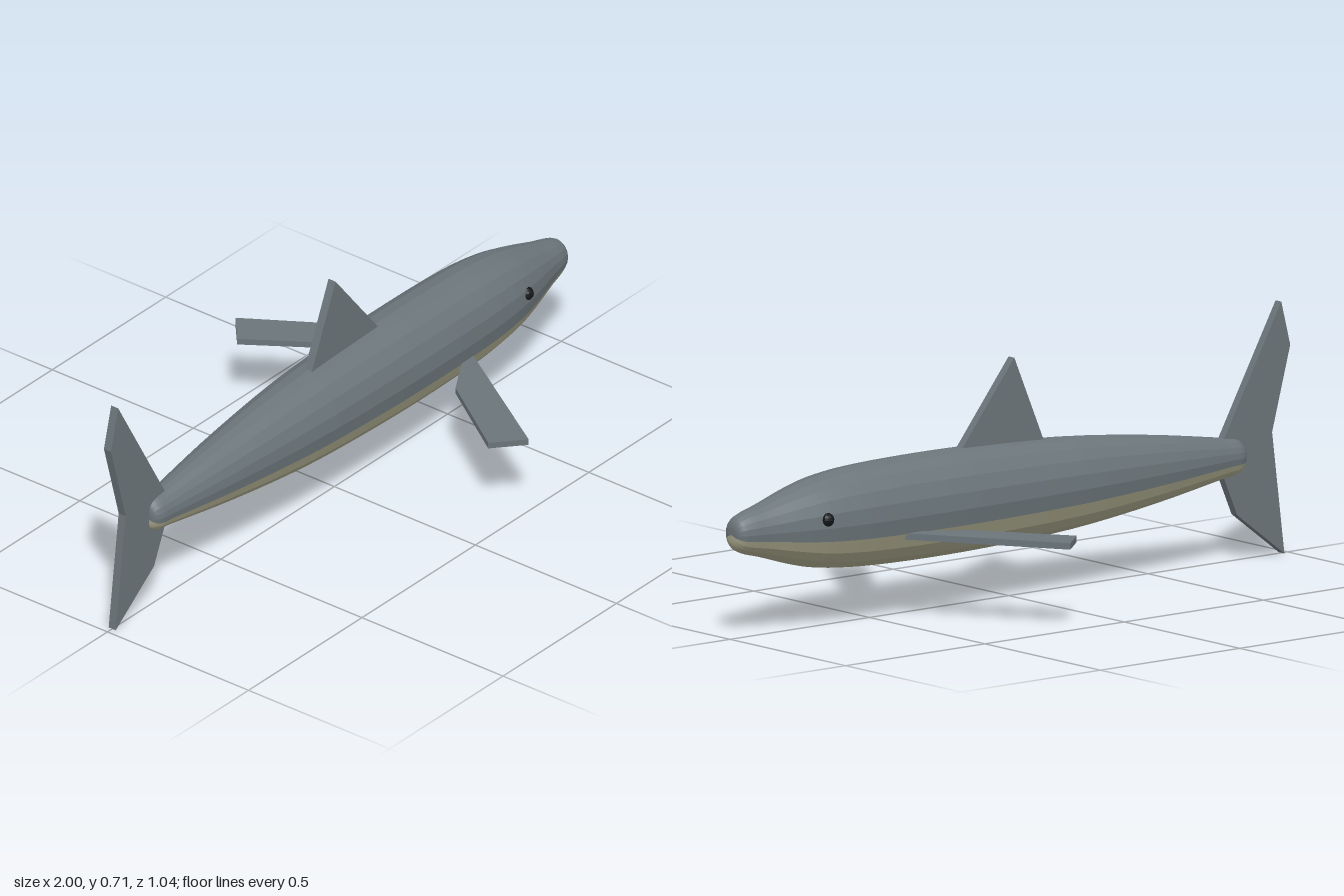
import * as THREE from 'three';

const mat = (color) => new THREE.MeshStandardMaterial({ color, flatShading: true });
const skin = mat(0x6b757a), bellySkin = mat(0xa8a68a), eyeBlack = mat(0x14171a);

const CENTRE_Y = 0.293, WIDTH_RATIO = 0.864, SIDES = 20;

// Half height of the body along x, from tail to nose
const profile = new THREE.CatmullRomCurve3([
  [-0.835, 0], [-0.828, 0.036], [-0.81, 0.05], [-0.76, 0.058], [-0.5, 0.098], [-0.2, 0.131],
  [0.1, 0.145], [0.3, 0.148], [0.5, 0.145], [0.62, 0.138], [0.72, 0.124], [0.8, 0.104],
  [0.9, 0.073], [0.955, 0.058], [0.982, 0.045], [0.993, 0.028], [0.996, 0],
].map(([x, h]) => new THREE.Vector3(x, h, 0)));

// A strip of the body skin between two side numbers, lofted along x
function bodyStrip(from, to) {
  const rings = 64, count = to - from + 1, pos = [], index = [];
  for (let i = 0; i <= rings; i++) {
    const p = profile.getPoint(i / rings), h = Math.max(0, p.y);
    for (let s = from; s <= to; s++) {
      const a = (s / SIDES) * Math.PI * 2;
      pos.push(p.x, CENTRE_Y + h * Math.sin(a), h * WIDTH_RATIO * Math.cos(a));
    }
  }
  for (let i = 0; i < rings; i++) {
    for (let j = 0; j < count - 1; j++) {
      const a = i * count + j, b = a + count;
      index.push(a, b, a + 1, b, b + 1, a + 1);
    }
  }
  const geo = new THREE.BufferGeometry();
  geo.setAttribute('position', new THREE.Float32BufferAttribute(pos, 3));
  geo.setIndex(index);
  geo.computeVertexNormals();
  return geo;
}

// Flat plate cut from an outline, centred on its thickness
function plate(points, thickness) {
  const shape = new THREE.Shape(points.map(([x, y]) => new THREE.Vector2(x, y)));
  return new THREE.ExtrudeGeometry(shape, { depth: thickness, bevelEnabled: false })
    .translate(0, 0, -thickness / 2);
}

export function createModel() {
  const model = new THREE.Group();
  const add = (name, geo, material) => {
    const mesh = new THREE.Mesh(geo, material);
    mesh.name = name;
    model.add(mesh);
    return mesh;
  };

  // Body: dark back and pale belly
  add('back', bodyStrip(-1, 11), skin);
  add('belly', bodyStrip(11, 19), bellySkin);

  // Upright fins
  add('dorsalFin', plate([[-0.12, 0.415], [0.195, 0.415], [-0.01, 0.67]], 0.025), skin);
  add('tailFin', plate([
    [-0.968, 0.71], [-1, 0.585], [-0.935, 0.347], [-0.979, 0],
    [-0.81, 0.128], [-0.757, 0.25], [-0.762, 0.347],
  ], 0.025), skin);

  // Side fins and eyes, mirrored across the body
  for (const [side, s] of [['right', -1], ['left', 1]].map(([n, v]) => [n, -v])) {
    const outline = [[0.47, 0.11], [0.21, 0.52], [0.125, 0.445], [0.298, 0.19], [0.46, 0.09]];
    const fin = plate(outline.map(([x, z]) => [x, z * s]), 0.018).rotateX(Math.PI / 2);
    add(side + 'SideFin', fin, skin).position.y = 0.241;
    add(side + 'Eye', new THREE.SphereGeometry(0.02, 12, 8), eyeBlack)
      .position.set(0.73, 0.317, 0.095 * s);
  }
  return model;
}
